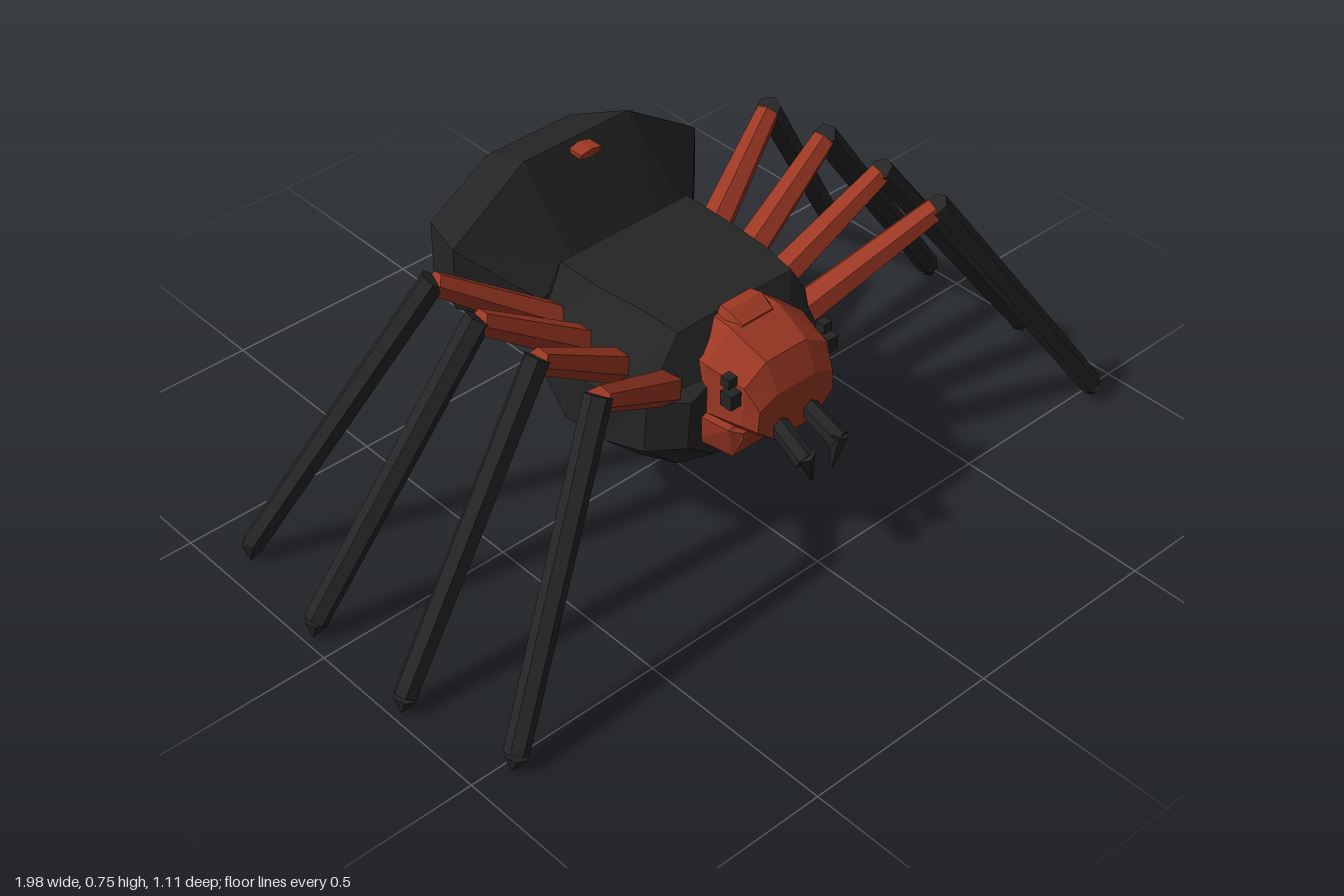
import * as THREE from 'three';

// Closed loft through sections ordered front to back.
// Each section is [z, half outline from top to bottom], mirrored across x = 0.
function loft(sections) {
  const rings = sections.map(([z, half]) => [
    ...half.map(([x, y]) => [x, y, z]),
    ...[...half].reverse().map(([x, y]) => [-x, y, z]),
  ]);
  const n = rings[0].length;
  const pos = [];
  const tri = (...pts) => pts.forEach((p) => pos.push(...p));
  const middle = (ring) => [0, 1, 2].map((k) => ring.reduce((s, p) => s + p[k], 0) / n);
  const first = rings[0], last = rings[rings.length - 1];
  for (let j = 0; j < n; j++) {
    const k = (j + 1) % n;
    for (let i = 0; i < rings.length - 1; i++) {
      const a = rings[i], b = rings[i + 1];
      tri(a[j], a[k], b[j]);
      tri(a[k], b[k], b[j]);
    }
    tri(middle(first), first[k], first[j]);
    tri(middle(last), last[j], last[k]);
  }
  const g = new THREE.BufferGeometry();
  g.setAttribute('position', new THREE.Float32BufferAttribute(pos, 3));
  g.computeVertexNormals();
  return g;
}

// Tapered six-sided rod between two points
function rod(from, to, r0, r1, sides = 6) {
  const a = new THREE.Vector3(...from), b = new THREE.Vector3(...to);
  const dir = b.clone().sub(a);
  const g = new THREE.CylinderGeometry(r1, r0, dir.length(), sides);
  g.applyQuaternion(new THREE.Quaternion().setFromUnitVectors(new THREE.Vector3(0, 1, 0), dir.normalize()));
  const m = a.add(b).multiplyScalar(0.5);
  return g.translate(m.x, m.y, m.z);
}

export function createModel() {
  const black = new THREE.MeshStandardMaterial({ color: 0x252525, flatShading: true });
  black.name = 'charcoal black';
  const red = new THREE.MeshStandardMaterial({ color: 0x9c3823, flatShading: true });
  red.name = 'rust red';

  const model = new THREE.Group();
  model.name = 'spider';
  const add = (name, geometry, material, parent = model) => {
    const mesh = new THREE.Mesh(geometry, material);
    mesh.name = name;
    parent.add(mesh);
    return mesh;
  };

  // Rounded middle body
  add('thorax', loft([
    [0.285, [[0.1, 0.47], [0.19, 0.43], [0.2, 0.31], [0.12, 0.25], [0.04, 0.23]]],
    [0.22, [[0.17, 0.575], [0.26, 0.43], [0.27, 0.3], [0.17, 0.21], [0.05, 0.18]]],
    [0.12, [[0.18, 0.585], [0.295, 0.42], [0.295, 0.285], [0.19, 0.185], [0.04, 0.145]]],
    [0, [[0.19, 0.58], [0.305, 0.42], [0.305, 0.285], [0.19, 0.18], [0.03, 0.14]]],
    [-0.14, [[0.19, 0.58], [0.25, 0.44], [0.25, 0.3], [0.16, 0.225], [0.04, 0.2]]],
    [-0.17, [[0.17, 0.55], [0.22, 0.44], [0.22, 0.33], [0.13, 0.29], [0.04, 0.28]]],
  ]), black);

  // Large faceted rear body, tapering to a blunt point
  add('abdomen', loft([
    [-0.165, [[0.12, 0.51], [0.23, 0.48], [0.23, 0.39], [0.12, 0.28]]],
    [-0.3, [[0.155, 0.75], [0.365, 0.61], [0.365, 0.45], [0.17, 0.295]]],
    [-0.47, [[0.125, 0.67], [0.295, 0.565], [0.295, 0.42], [0.125, 0.31]]],
    [-0.56, [[0.01, 0.405], [0.015, 0.4], [0.015, 0.395], [0.01, 0.39]]],
  ]), black);
  add('abdomenSpot', new THREE.CylinderGeometry(0.035, 0.035, 0.05, 6)
    .rotateX(Math.PI / 2).scale(1, 0.3, 1).translate(0, 0.728, -0.275), red);

  // Head with crest and lower cheeks
  add('head', loft([
    [0.415, [[0.055, 0.46], [0.11, 0.44], [0.115, 0.385], [0.06, 0.335]]],
    [0.38, [[0.06, 0.53], [0.125, 0.49], [0.13, 0.39], [0.07, 0.33]]],
    [0.28, [[0.07, 0.57], [0.145, 0.51], [0.145, 0.38], [0.09, 0.31]]],
    [0.2, [[0.065, 0.57], [0.13, 0.5], [0.13, 0.38], [0.09, 0.31]]],
  ]), red);
  add('headCrest', loft([
    [0.29, [[0.045, 0.57], [0.06, 0.55]]],
    [0.25, [[0.05, 0.59], [0.065, 0.56]]],
    [0.22, [[0.045, 0.587], [0.06, 0.56]]],
  ]), red);
  add('chin', loft([
    [0.365, [[0.06, 0.35], [0.11, 0.35], [0.11, 0.335], [0.05, 0.325]]],
    [0.345, [[0.07, 0.38], [0.135, 0.36], [0.12, 0.28], [0.06, 0.28]]],
    [0.27, [[0.1, 0.4], [0.165, 0.38], [0.165, 0.31], [0.06, 0.3]]],
  ]), red);

  // Leg joints for the left side: hip, knee, ankle
  const legs = [
    [[0.21, 0.45, 0.225], [0.5, 0.645, 0.34], [0.9, 0.04, 0.525]],
    [[0.225, 0.45, 0.11], [0.51, 0.645, 0.16], [0.965, 0.04, 0.24]],
    [[0.225, 0.45, 0.005], [0.515, 0.645, -0.025], [0.965, 0.04, -0.07]],
    [[0.22, 0.45, -0.105], [0.5, 0.645, -0.195], [0.92, 0.04, -0.365]],
  ];

  for (const s of [1, -1]) {
    const side = s > 0 ? 'left' : 'right';
    const mirror = ([x, y, z]) => [s * x, y, z];

    // Eyes: a large and a small block on the side of the head
    add(side + 'Eye', new THREE.BoxGeometry(0.03, 0.038, 0.034).translate(s * 0.147, 0.468, 0.362), black);
    add(side + 'SmallEye', new THREE.BoxGeometry(0.025, 0.025, 0.025).translate(s * 0.143, 0.508, 0.352), black);

    // Curved fang in two pieces
    const fang = new THREE.Group();
    fang.name = side + 'Fang';
    model.add(fang);
    add('fangBase', rod(mirror([0.045, 0.37, 0.4]), mirror([0.052, 0.325, 0.5]), 0.024, 0.025), black, fang);
    add('fangTip', rod(mirror([0.052, 0.34, 0.497]), mirror([0.03, 0.258, 0.5]), 0.023, 0.003), black, fang);

    // Red upper segment, black shin and pointed foot
    legs.forEach((joints, i) => {
      const [hip, knee, ankle] = joints.map(mirror);
      const leg = new THREE.Group();
      leg.name = side + 'Leg' + (i + 1);
      model.add(leg);
      add('upperLeg', rod(hip, knee, 0.042, 0.029), red, leg);
      add('lowerLeg', rod([knee[0], knee[1] + 0.01, knee[2]], ankle, 0.031, 0.028), black, leg);
      add('foot', rod([ankle[0], 0.035, ankle[2]], [ankle[0] + s * 0.012, 0, ankle[2] + 0.002], 0.028, 0.002), black, leg);
    });
  }
  return model;
}
